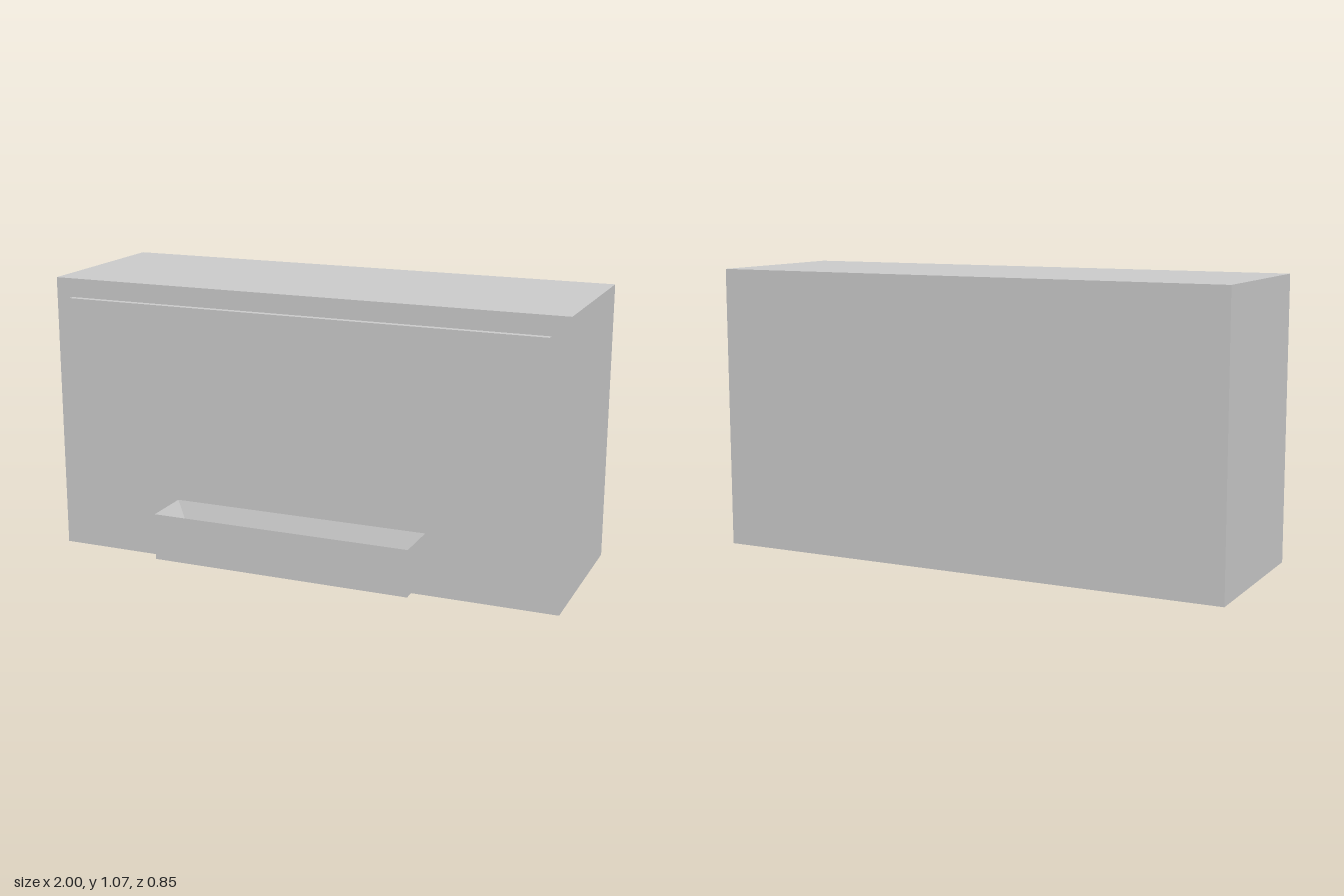
import * as THREE from 'three';

const material = new THREE.MeshStandardMaterial({ color: 0xcccccc, flatShading: true });

// Box given by its minimum and maximum corners
function block(name, [x0, y0, z0], [x1, y1, z1]) {
  const geometry = new THREE.BoxGeometry(x1 - x0, y1 - y0, z1 - z0);
  geometry.translate((x0 + x1) / 2, (y0 + y1) / 2, (z0 + z1) / 2);
  const mesh = new THREE.Mesh(geometry, material);
  mesh.name = name;
  return mesh;
}

// Closed skin over a stack of rectangular rings { y, hx, z0, z1 }
function rectangularLoft(rings) {
  const points = rings.map(({ y, hx, z0, z1 }) => [
    [-hx, y, z1], [hx, y, z1], [hx, y, z0], [-hx, y, z0],
  ]);
  const position = [];
  const quad = (a, b, c, d) => position.push(...a, ...b, ...c, ...a, ...c, ...d);
  for (let r = 0; r < points.length - 1; r++) {
    for (let i = 0; i < 4; i++) {
      const j = (i + 1) % 4;
      quad(points[r][i], points[r][j], points[r + 1][j], points[r + 1][i]);
    }
  }
  quad(...points[points.length - 1]);
  quad(...[...points[0]].reverse());
  const geometry = new THREE.BufferGeometry();
  geometry.setAttribute('position', new THREE.Float32BufferAttribute(position, 3));
  geometry.computeVertexNormals();
  return geometry;
}

export function createModel() {
  const model = new THREE.Group();
  model.name = 'cabinetWithTray';

  // Main body and the thin raised panel on its front
  model.add(block('body', [-1, 0, -0.427], [1, 1.067, 0.24]));
  model.add(block('frontPanel', [-0.933, 0.33, 0.24], [0.933, 0.995, 0.265]));

  // Tray: outer walls up to a sharp rim, then sloping inwards to the floor
  const tray = new THREE.Mesh(rectangularLoft([
    { y: 0.06, hx: 0.5, z0: 0.24, z1: 0.427 },
    { y: 0.237, hx: 0.5, z0: 0.24, z1: 0.427 },
    { y: 0.158, hx: 0.457, z0: 0.262, z1: 0.405 },
  ]), material);
  tray.name = 'tray';
  model.add(tray);

  return model;
}
